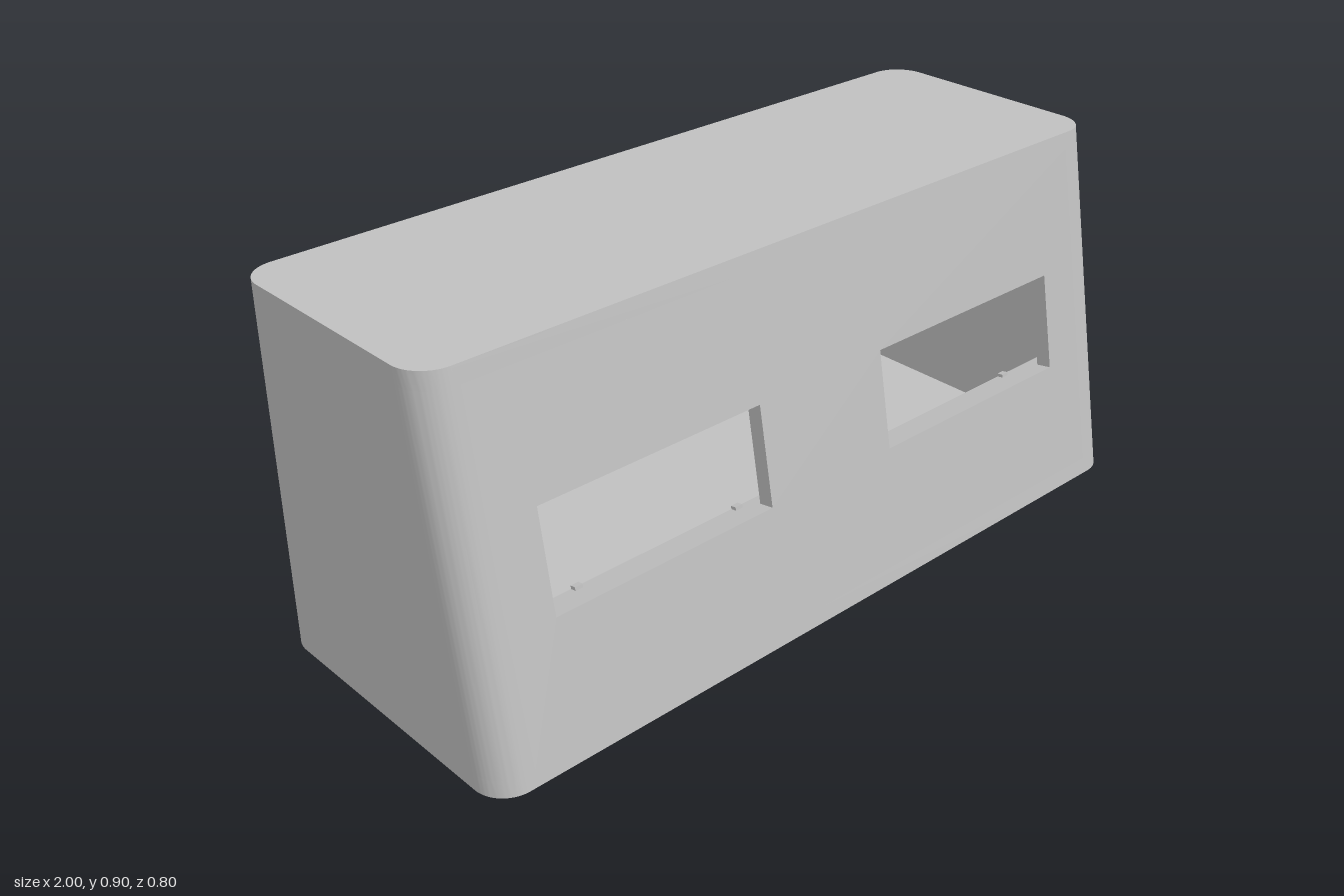
import * as THREE from 'three';
import { toCreasedNormals } from 'three/addons/utils/BufferGeometryUtils.js';

const H = 0.9, T = 0.04, R = 0.08, SLOPE = 0.16 / 0.9;
const WIN = { x: 0.49, y: 0.45, w: 0.6, h: 0.24 };

// Lean the front half back as it rises
function lean(geo) {
  const p = geo.attributes.position;
  for (let i = 0; i < p.count; i++) {
    if (p.getZ(i) > 0) p.setZ(i, p.getZ(i) - SLOPE * p.getY(i));
  }
  return toCreasedNormals(geo, 0.5);
}

// Extrude a floor-plan shape (x, -z) upwards from y0 to y1
function plan(shape, y0, y1) {
  const geo = new THREE.ExtrudeGeometry(shape, { depth: y1 - y0, bevelEnabled: false, curveSegments: 12 });
  geo.rotateX(-Math.PI / 2).translate(0, y0, 0);
  return lean(geo);
}

function rect(Kind, x, y, w, h) {
  return new Kind([[-1, -1], [1, -1], [1, 1], [-1, 1]]
    .map(([a, b]) => new THREE.Vector2(x + a * w / 2, y + b * h / 2)));
}

export function createModel() {
  const model = new THREE.Group();
  const grey = new THREE.MeshStandardMaterial({ color: 0xbfbfbf });
  grey.name = 'grey plastic';
  const add = (parent, name, geo) => {
    const mesh = new THREE.Mesh(geo, grey);
    mesh.name = name;
    parent.add(mesh);
    return mesh;
  };

  // Floor and roof slabs with rounded corners
  const slab = new THREE.Shape();
  slab.absarc(1 - R, -0.4 + R, R, -Math.PI / 2, 0, false);
  slab.absarc(1 - R, 0.4 - R, R, 0, Math.PI / 2, false);
  slab.absarc(-1 + R, 0.4 - R, R, Math.PI / 2, Math.PI, false);
  slab.absarc(-1 + R, -0.4 + R, R, Math.PI, Math.PI * 1.5, false);
  slab.closePath();
  add(model, 'floor', plan(slab, 0, T));
  add(model, 'roof', plan(slab, H - T, H));

  // Side walls with rounded front corners, open at the back
  const side = new THREE.Shape();
  side.moveTo(0.9, -0.4);
  side.lineTo(0.92, -0.4);
  side.absarc(0.92, -0.32, R, -Math.PI / 2, 0, false);
  side.absarc(0.92, 0.32, R, 0, Math.PI / 3, false);
  side.lineTo(0.96, -0.32);
  side.absarc(0.92, -0.32, R - T, 0, -Math.PI / 2, true);
  side.lineTo(0.9, -0.36);
  const outline = side.getPoints(12);
  for (const s of [1, -1]) {
    const shape = new THREE.Shape(outline.map((p) => new THREE.Vector2(s * p.x, p.y)));
    add(model, s > 0 ? 'leftWall' : 'rightWall', plan(shape, T, H - T));
  }

  // Front panel with two window openings cut square to the slope
  const panel = rect(THREE.Shape, 0, H / 2, 1.8, H - 2 * T);
  for (const s of [1, -1]) panel.holes.push(rect(THREE.Path, s * WIN.x, WIN.y, WIN.w, WIN.h));
  const front = new THREE.ExtrudeGeometry(panel, { depth: T, bevelEnabled: false });
  front.translate(0, 0, 0.4 - T);
  const p = front.attributes.position;
  const drop = T * SLOPE;
  for (let i = 0; i < p.count; i++) {
    const y = p.getY(i);
    if (p.getZ(i) < 0.38 && y > 0.2 && y < 0.7) p.setY(i, y - drop);
  }
  add(model, 'frontPanel', lean(front));

  // Raised mounting frames behind the windows, with small retaining nubs
  const depth = 0.035, h = WIN.h * Math.hypot(1, SLOPE);
  for (const s of [1, -1]) {
    const frame = new THREE.Group();
    frame.name = s > 0 ? 'leftWindowFrame' : 'rightWindowFrame';
    const y = WIN.y - drop;
    frame.position.set(s * WIN.x, y, 0.4 - T - SLOPE * y);
    frame.rotation.x = -Math.atan(SLOPE);
    const ring = rect(THREE.Shape, 0, 0, 0.8, h + 0.06);
    ring.holes.push(rect(THREE.Path, 0, 0, 0.73, h));
    const geo = new THREE.ExtrudeGeometry(ring, { depth, bevelEnabled: false });
    add(frame, 'frameRim', geo.translate(0, 0, -depth));
    for (const x of [-0.255, 0.195]) {
      for (const v of [1, -1]) {
        add(frame, 'retainingNub', new THREE.BoxGeometry(0.02, 0.016, 0.015))
          .position.set(s * x, v * h / 2, -depth + 0.0075);
      }
    }
    model.add(frame);
  }
  return model;
}
